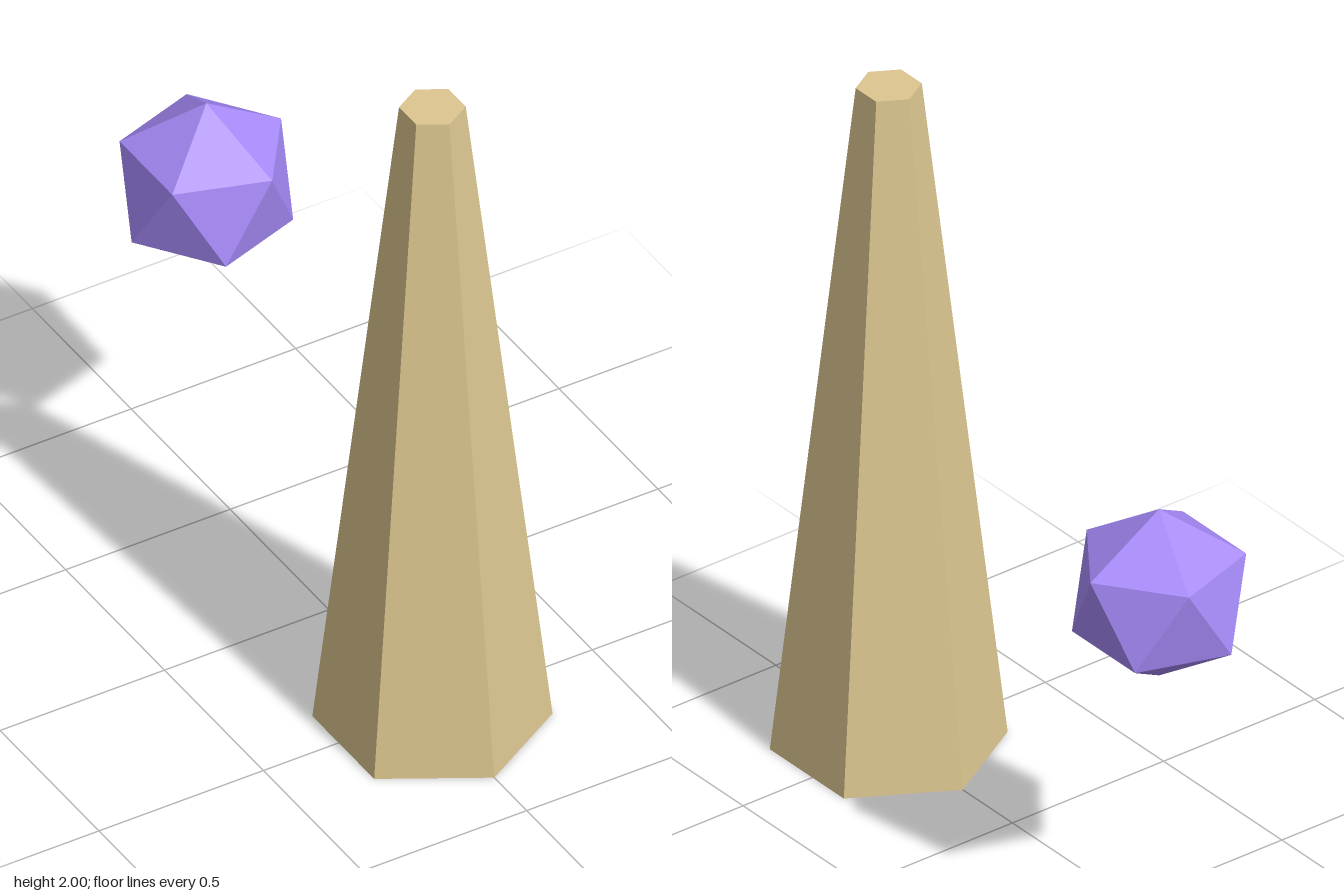
import * as THREE from 'three';

export function createModel() {
  const group = new THREE.Group();

  const addPart = (name, geometry, color, y, z) => {
    const material = new THREE.MeshStandardMaterial({ color, flatShading: true });
    const mesh = new THREE.Mesh(geometry, material);
    mesh.name = name;
    mesh.position.set(0, y, z);
    group.add(mesh);
    return mesh;
  };

  // Tapered six-sided pillar, with corners pointing to the front and back
  addPart('pillar', new THREE.CylinderGeometry(0.087, 0.313, 2, 6), 0xdcc690, 1, 0.523);

  // Floating gem: an icosahedron tipped to stand on one corner
  const gem = addPart('gem', new THREE.IcosahedronGeometry(0.254, 0), 0xa78bfa, 1.003, -0.62);
  const goldenRatio = (1 + Math.sqrt(5)) / 2;
  gem.rotation.z = -Math.atan(1 / goldenRatio);

  return group;
}
